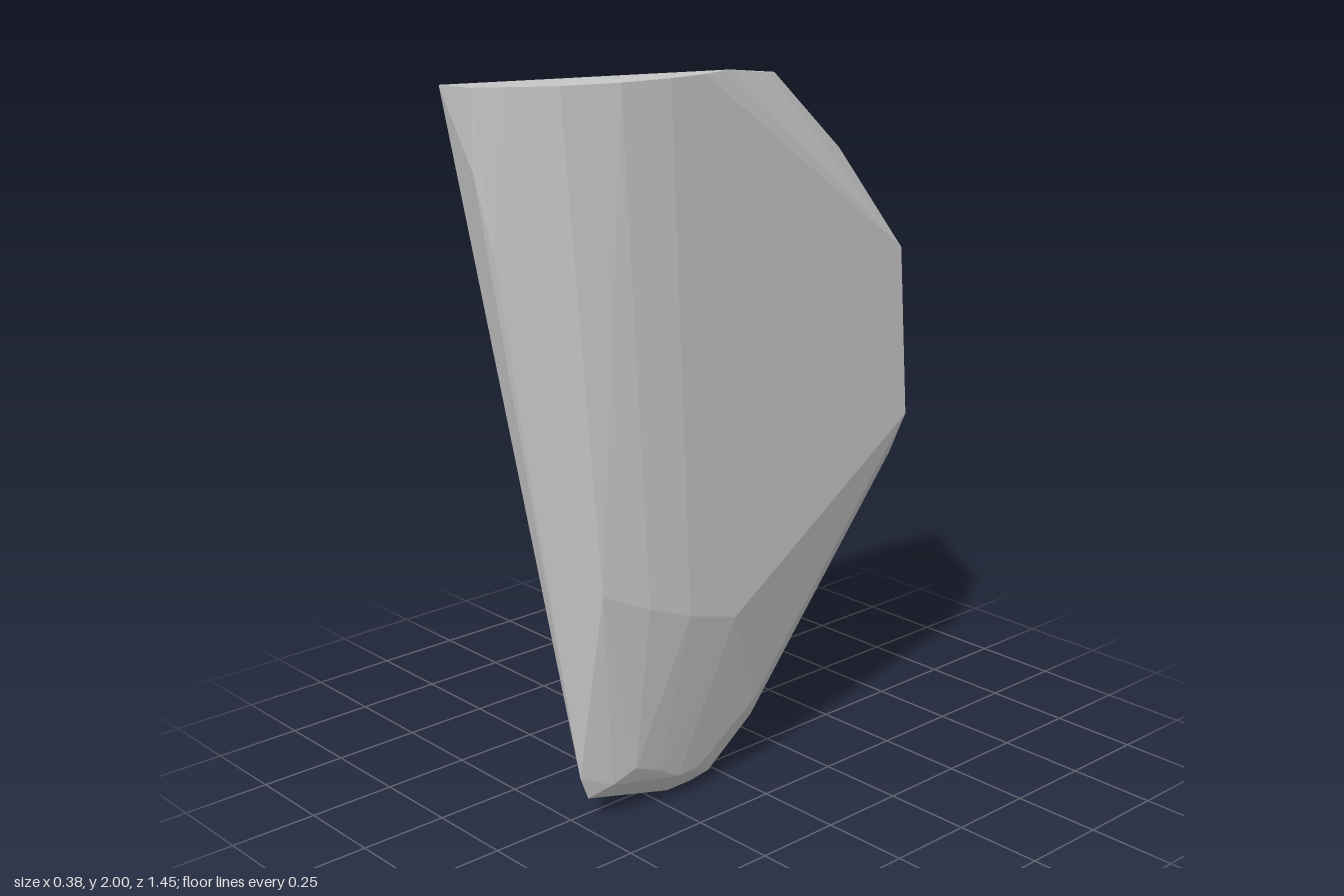
import * as THREE from 'three';
import { ConvexGeometry } from 'three/addons/geometries/ConvexGeometry.js';

// Corner groups of the faceted, wedge-shaped shard, as [x, y, z]
const topRim = [
  [-0.17, 1.995, 0.725], [-0.04, 2, 0.725], [0, 2, 0.67], [0.08, 2, 0.55], [0.13, 2, 0.4],
  [0.145, 2, 0.25], [0.14, 2, 0.13], [0.115, 2, 0.02], [0.02, 1.965, -0.21], [-0.1, 1.945, -0.35],
];
const backEdge = [
  [-0.19, 1.79, -0.42], [-0.195, 1.68, -0.69], [-0.18, 1.69, -0.7], [-0.15, 1.61, -0.725],
  [0.1, 1.44, -0.67], [0.13, 0.95, -0.675], [0.075, 0.82, -0.67], [0.02, 0.82, -0.67],
];
const bulge = [
  [-0.04, 1.79, 0.725], [-0.01, 1.6, 0.695], [0.14, 0.69, 0.49], [0.175, 0.63, 0.36],
  [0.19, 0.58, 0.23], [0.185, 0.53, 0.06],
];
const foot = [
  [0.045, 0.14, 0.5], [0.04, 0.07, 0.47], [0.085, 0.11, 0.42], [0.113, 0.15, 0.36], [0.112, 0.115, 0.27],
  [0.105, 0.07, 0.2], [0.1, 0.07, 0.12], [0.075, 0.03, 0.06], [0.045, 0, 0.19], [0.045, 0, 0.1],
  [-0.035, 0.02, 0.05], [0.06, 0.12, -0.05], [0.09, 0.16, -0.09], [0.115, 0.22, -0.08],
];

export function createModel() {
  const stone = new THREE.MeshStandardMaterial({ color: 0xc6c6c6 });
  stone.name = 'paleStoneGrey';

  // Solid skin of flat facets around the corners
  const points = [topRim, backEdge, bulge, foot].flat().map((p) => new THREE.Vector3(...p));
  const shard = new THREE.Mesh(new ConvexGeometry(points), stone);
  shard.name = 'shard';

  const model = new THREE.Group();
  model.name = 'stoneShard';
  model.add(shard);
  return model;
}
